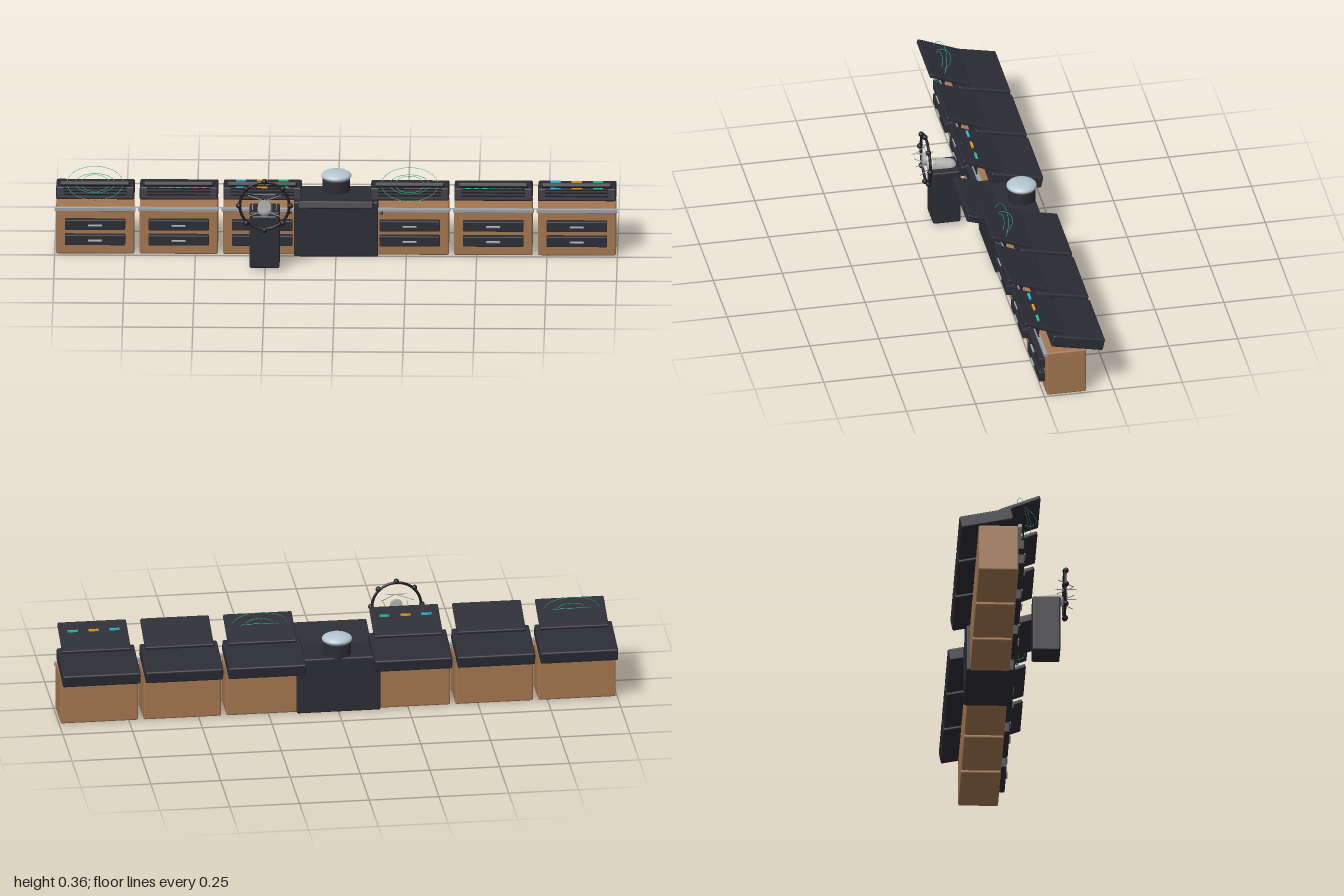
import * as THREE from 'three';
import { RoundedBoxGeometry } from 'three/addons/geometries/RoundedBoxGeometry.js';

const paint = (name, color) => {
  const m = new THREE.MeshStandardMaterial({ color });
  m.name = name;
  return m;
};

export function createModel() {
  const root = new THREE.Group();
  root.name = 'controlConsole';
  const dark = paint('charcoal', 0x2c2c35);
  const black = paint('black', 0x1f1f24);
  const wood = paint('wood', 0xa37650);
  const steel = paint('steel', 0x9aa0a8);
  const ivory = paint('pale grey', 0xb4b4b0);
  const glass = paint('pale blue dome', 0xb4c6d2);
  const green = paint('green', 0x1fc48a);
  const cyan = paint('cyan', 0x2cb8d8);
  const amber = paint('amber', 0xe09a24);

  const add = (parent, name, geo, mat, x, y, z, rx = 0) => {
    const mesh = new THREE.Mesh(geo, mat);
    mesh.name = name;
    mesh.position.set(x, y, z);
    mesh.rotation.x = rx;
    parent.add(mesh);
    return mesh;
  };
  const rbox = (w, h, d, r = 0.006) => new RoundedBoxGeometry(w, h, d, 2, r);
  const box = (w, h, d) => new THREE.BoxGeometry(w, h, d);

  // Thin elliptical ring, tilted about x
  const radarRing = (parent, rx, ry, tilt) => {
    const pts = [];
    for (let i = 0; i < 40; i++) {
      const a = (i / 40) * Math.PI * 2;
      pts.push(new THREE.Vector3(Math.cos(a) * rx, Math.sin(a) * ry, 0));
    }
    const path = new THREE.CatmullRomCurve3(pts, true);
    add(parent, 'radarRing', new THREE.TubeGeometry(path, 64, 0.0009, 5, true), green, 0, 0.277, 0.014, tilt);
  };

  // One cabinet with drawers, sloping deck and display panel
  const station = (x, kind) => {
    const g = new THREE.Group();
    g.name = 'station';
    g.position.x = x;
    root.add(g);
    add(g, 'cabinet', rbox(0.278, 0.175, 0.142), wood, 0, 0.0885, -0.081);
    add(g, 'frontRail', rbox(0.288, 0.014, 0.014, 0.002), steel, 0, 0.173, -0.005);
    for (const y of [0.117, 0.06]) {
      add(g, 'drawer', rbox(0.214, 0.038, 0.024, 0.003), dark, 0, y, 0);
      add(g, 'drawerHandle', rbox(0.05, 0.007, 0.007, 0.002), steel, 0, y, 0.015);
    }
    add(g, 'deck', rbox(0.278, 0.046, 0.191), dark, 0, 0.205, -0.124, -0.198);
    add(g, 'displayPanel', rbox(0.246, 0.016, 0.155, 0.005), dark, 0, 0.268, -0.005, -0.374);
    // Indicator strips below the panel
    for (const y of [0.234, 0.246, 0.258]) {
      add(g, 'indicatorStrip', box(0.225, 0.004, 0.004), black, 0, y, 0.014);
    }
    if (kind === 'radar') {
      radarRing(g, 0.1, 0.06, -0.4);
      radarRing(g, 0.07, 0.048, -1.12);
      radarRing(g, 0.05, 0.03, -0.4);
    } else if (kind === 'lamps') {
      [cyan, amber, green].forEach((mat, i) => {
        const lx = (i - 1) * 0.075;
        add(g, 'upperLamp', box(0.036, 0.006, 0.008), mat, lx, 0.288, 0.011);
        add(g, 'lowerLamp', box(0.036, 0.005, 0.004), mat, lx, 0.264, 0.015);
      });
    } else {
      for (let i = -3; i <= 3; i++) {
        add(g, 'traceDash', box(0.018, 0.0015, 0.003), green, i * 0.03, 0.263, 0.015);
      }
    }
  };
  const kinds = ['radar', 'plain', 'lamps', 'radar', 'plain', 'lamps'];
  [-0.856, -0.559, -0.262, 0.262, 0.559, 0.856].forEach((x, i) => station(x, kinds[i]));

  // Central console with sloping desk and dome
  const centre = new THREE.Group();
  centre.name = 'centreConsole';
  root.add(centre);
  add(centre, 'centreBody', rbox(0.3, 0.207, 0.173), dark, 0, 0.1035, -0.0785);
  add(centre, 'centreDesk', rbox(0.267, 0.028, 0.19, 0.005), dark, 0, 0.204, 0.014, -0.29);
  add(centre, 'domeBase', new THREE.CylinderGeometry(0.049, 0.049, 0.06, 32), dark, 0, 0.22, -0.117);
  add(centre, 'dome', new THREE.SphereGeometry(0.054, 32, 20), glass, 0, 0.263, -0.117).scale.y = 0.36;
  for (const s of [-1, 1]) {
    add(centre, 'sideKnob', rbox(0.01, 0.01, 0.007, 0.002), dark, s * 0.163, 0.173, 0.025);
  }

  // Helm: pedestal, hub and wheel
  const helm = new THREE.Group();
  helm.name = 'helm';
  helm.position.x = -0.252;
  root.add(helm);
  add(helm, 'pedestal', rbox(0.107, 0.211, 0.1), dark, 0, 0.1175, 0.114);
  add(helm, 'hubHousing', new THREE.CapsuleGeometry(0.025, 0.06, 8, 20), ivory, 0, 0.225, 0.124, Math.PI / 2 - 0.17);
  add(helm, 'wheelHub', new THREE.CylinderGeometry(0.022, 0.022, 0.012, 20), ivory, 0, 0.255, 0.185, Math.PI / 2);
  add(helm, 'wheelRim', new THREE.TorusGeometry(0.088, 0.005, 8, 48), black, 0, 0.255, 0.18);
  const knob = new THREE.SphereGeometry(0.01, 14, 10);
  const spoke = new THREE.CylinderGeometry(0.0015, 0.0015, 0.08, 8);
  for (let i = 0; i < 8; i++) {
    const a = (i * Math.PI) / 4, c = Math.cos(a), s = Math.sin(a);
    add(helm, 'rimKnob', knob, black, c * 0.0915, 0.255 + s * 0.0915, 0.183);
    add(helm, 'spoke', spoke, steel, c * 0.042, 0.255 + s * 0.042, 0.184, Math.PI / 2).rotation.z = a;
  }
  return root;
}
